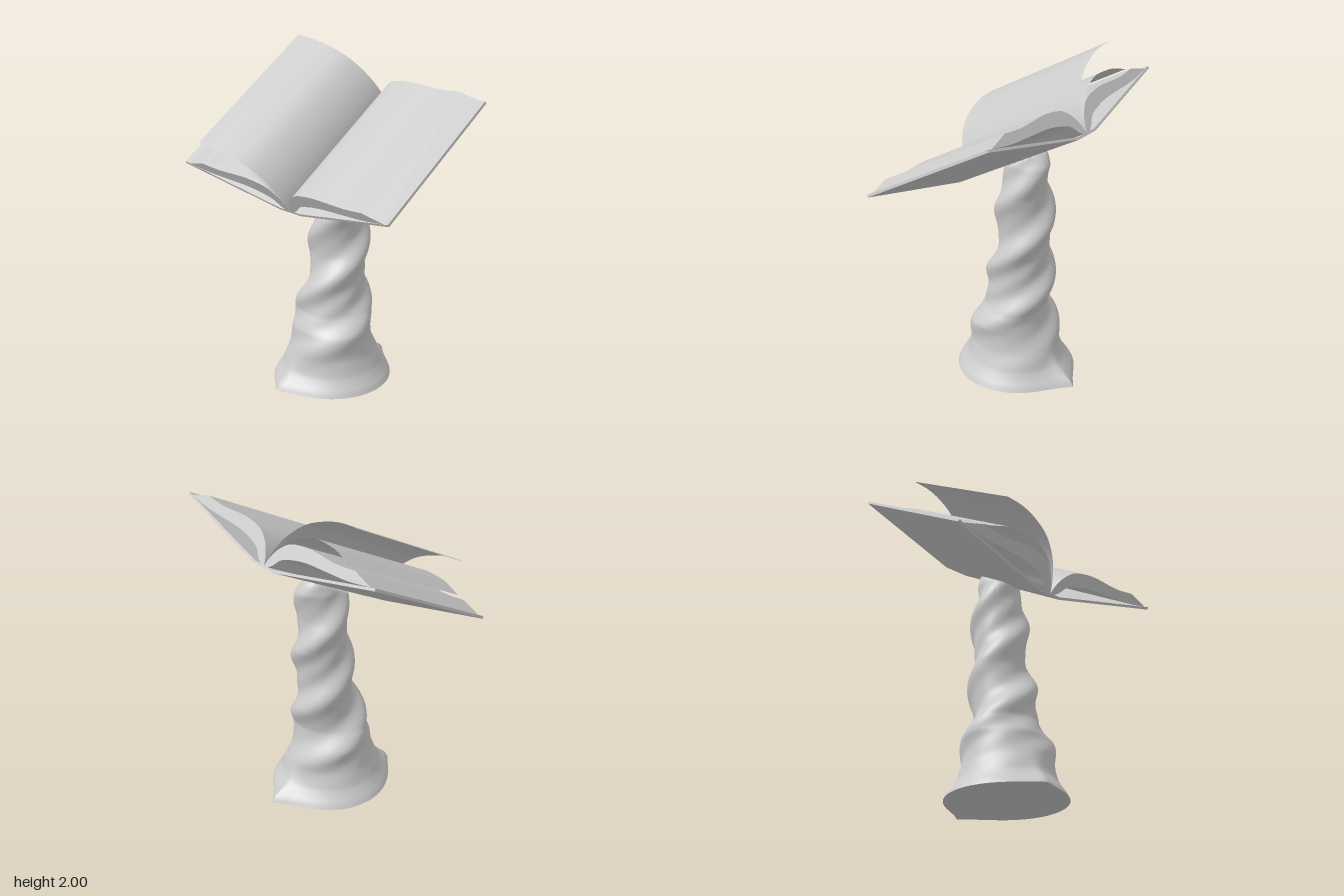
import * as THREE from 'three';
import { toCreasedNormals } from 'three/addons/utils/BufferGeometryUtils.js';

const material = new THREE.MeshStandardMaterial({ color: 0xcccccc });
const thin = new THREE.MeshStandardMaterial({ color: 0xcccccc, side: THREE.DoubleSide });
const LENGTH = 0.97; // height of the book along its spine

function add(parent, name, geometry, mat = material) {
  const mesh = new THREE.Mesh(geometry, mat);
  mesh.name = name;
  parent.add(mesh);
}

const vectors = (points, side = 1) => points.map(([x, y]) => new THREE.Vector2(x * side, y));
const smooth = (points, side, n) => new THREE.SplineCurve(vectors(points, side)).getPoints(n);

function extrude(points) {
  const geometry = new THREE.ExtrudeGeometry(new THREE.Shape(points), { depth: LENGTH, bevelEnabled: false });
  return toCreasedNormals(geometry, 0.22);
}

// A thin curved leaf following a profile across the book
function leaf(profile) {
  const curve = new THREE.SplineCurve(vectors(profile));
  const geometry = new THREE.PlaneGeometry(1, 1, 28, 1);
  const pos = geometry.attributes.position;
  for (let i = 0; i < pos.count; i++) {
    const p = curve.getPoint(pos.getX(i) + 0.5);
    pos.setXYZ(i, p.x, p.y, (0.5 - pos.getY(i)) * LENGTH);
  }
  geometry.computeVertexNormals();
  return geometry;
}

// Linear lookup in rows of [height, value]
function lookup(rows, y) {
  for (let i = 1; i < rows.length; i++) {
    const [y0, a] = rows[i - 1], [y1, b] = rows[i];
    if (y <= y1) return THREE.MathUtils.mapLinear(y, y0, y1, a, b);
  }
  return rows[rows.length - 1][1];
}

function createBook() {
  const book = new THREE.Group();
  book.name = 'book';

  // Hard cover with a flat spine
  add(book, 'cover', extrude(vectors([
    [-0.78, 0.167], [-0.08, 0], [0.08, 0], [0.78, 0.167],
    [0.777, 0.182], [0.078, 0.015], [-0.078, 0.015], [-0.777, 0.182],
  ])));

  // Two page blocks rising from the gutter, with slanted outer edges
  const top = [[0, 0.012], [0.015, 0.06], [0.05, 0.12], [0.1, 0.167], [0.16, 0.192], [0.28, 0.207], [0.47, 0.2], [0.61, 0.214]];
  const under = [[0.745, 0.175], [0.6, 0.15], [0.45, 0.14], [0.3, 0.132], [0.2, 0.115], [0.11, 0.085], [0.06, 0.035], [0.03, 0.014]];
  for (const [name, side] of [['leftPages', 1], ['rightPages', -1]]) {
    add(book, name, extrude([...smooth(top, side, 40), ...smooth(under, side, 36)]));
  }

  // Two leaves lifting off while being turned
  add(book, 'lowLeaf', leaf([[-0.56, 0.225], [-0.48, 0.252], [-0.4, 0.268], [-0.25, 0.265], [-0.1, 0.19], [-0.03, 0.1], [0, 0.015]]), thin);
  add(book, 'highLeaf', leaf([[-0.525, 0.41], [-0.4, 0.4], [-0.28, 0.364], [-0.17, 0.306], [-0.08, 0.212], [-0.025, 0.11], [0, 0.015]]), thin);

  book.position.set(0, 1.645, -0.52);
  book.rotation.x = Math.PI / 6;
  return book;
}

// Column wrung like cloth: two main helical folds plus finer ones
function createColumn() {
  const radii = [[0, 0.355], [0.03, 0.34], [0.06, 0.318], [0.1, 0.295], [0.2, 0.267], [0.35, 0.245], [0.45, 0.208], [0.6, 0.19],
    [0.8, 0.168], [1, 0.16], [1.15, 0.154], [1.3, 0.139], [1.38, 0.132], [1.44, 0.105], [1.5, 0.06]];
  const centres = [[0, -0.04], [0.35, -0.03], [0.6, -0.07], [0.8, -0.09], [1, -0.103], [1.2, -0.1], [1.5, -0.12]];
  const height = 1.5;
  const geometry = new THREE.CylinderGeometry(1, 1, height, 96, 110);
  const pos = geometry.attributes.position;
  for (let i = 0; i < pos.count; i++) {
    const x = pos.getX(i), z = pos.getZ(i), y = pos.getY(i) + height / 2;
    const angle = Math.atan2(x, z);
    const a = angle - Math.PI / 2 - (y - 0.79) * Math.PI / 0.4;
    const strength = THREE.MathUtils.smoothstep(y, 0, 0.55);
    const folds = 0.12 * Math.cos(2 * a) + 0.035 * Math.cos(4 * a + 0.6) + 0.02 * Math.cos(3 * a + 1.5);
    let r = lookup(radii, y) * (1 + folds * strength);
    // Pointed corners of the hem, the rear one pulled out furthest
    const low = Math.exp(-((y / 0.11) ** 2));
    const back = Math.PI - 0.06 - angle;
    const rear = Math.min(Math.abs(back), Math.abs(back - 2 * Math.PI));
    r += low * (0.1 * Math.exp(-rear / 0.22) + 0.07 * Math.exp(-Math.abs(angle + 0.22) / 0.25));
    r *= Math.min(1, Math.hypot(x, z));
    const pz = Math.cos(angle) * r + lookup(centres, y);
    // The top is trimmed to the slope of the book's underside
    const limit = 1.158 + (0.32 - pz) * Math.tan(Math.PI / 6);
    pos.setXYZ(i, Math.sin(angle) * r, Math.min(y, limit), pz);
  }
  return toCreasedNormals(geometry, 0.8);
}

export function createModel() {
  const model = new THREE.Group();
  model.name = 'bookStand';
  add(model, 'twistedColumn', createColumn());
  model.add(createBook());
  return model;
}
